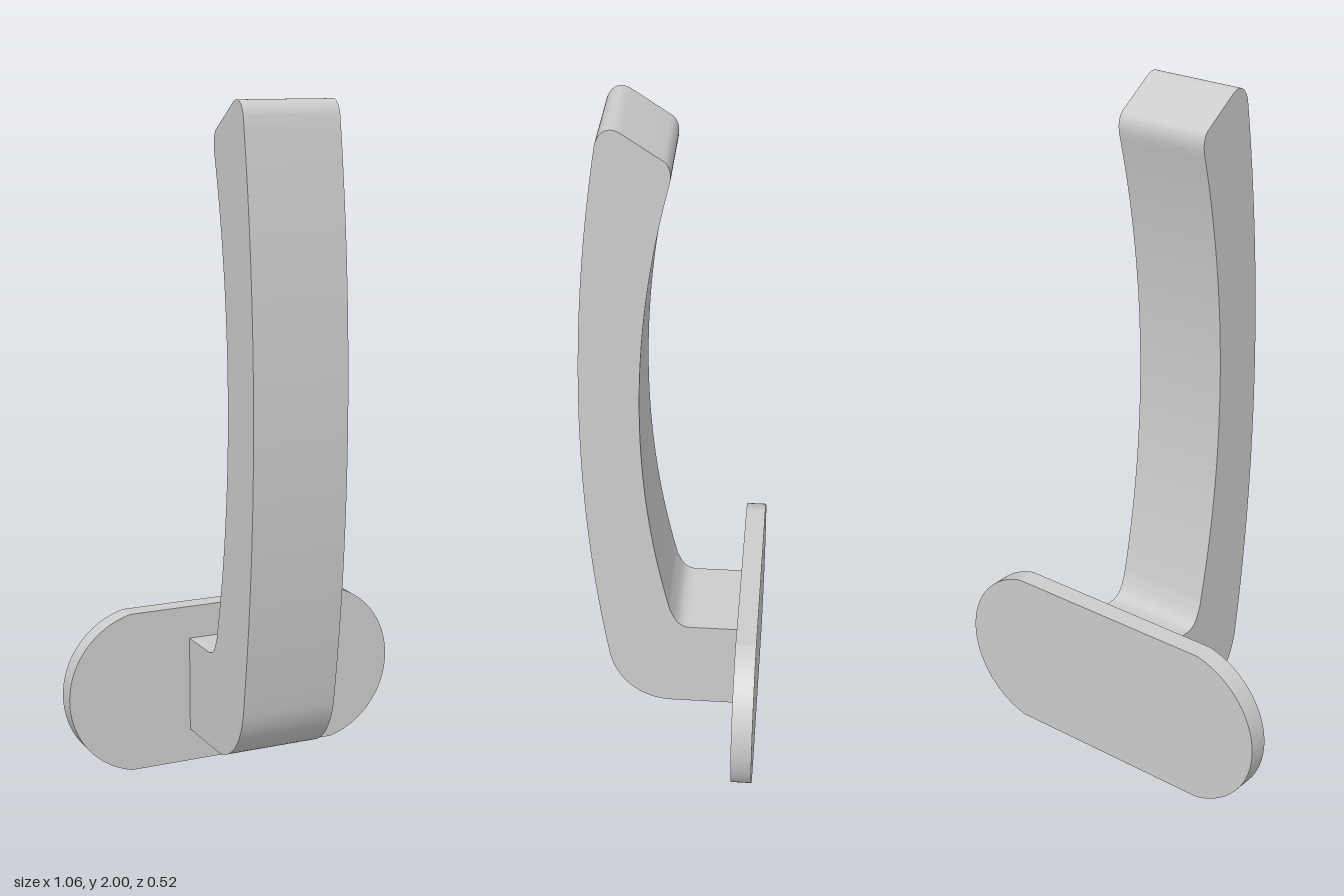
import * as THREE from 'three';
import { toCreasedNormals } from 'three/addons/utils/BufferGeometryUtils.js';

const material = new THREE.MeshStandardMaterial({ color: 0xcccccc });

function extrude(shape, depth, curveSegments) {
  const g = new THREE.ExtrudeGeometry(shape, { depth, bevelEnabled: false, curveSegments });
  return g;
}

function part(name, geometry) {
  const mesh = new THREE.Mesh(toCreasedNormals(geometry, 0.18), material);
  mesh.name = name;
  return mesh;
}

export function createModel() {
  const model = new THREE.Group();
  model.name = 'leverHandle';

  const back = -0.26, front = -0.2, midY = 0.245, pin = 0.13;

  // Mounting plate: flat top and bottom, slightly shallow round ends, square socket
  const r = 0.2514, cx = 0.2786, a = Math.asin(midY / r);
  const plate = new THREE.Shape();
  plate.absarc(cx, midY, r, -a, a, false);
  plate.absarc(-cx, midY, r, Math.PI - a, Math.PI + a, false);
  plate.closePath();
  const socket = new THREE.Path();
  const h = pin / 2;
  socket.setFromPoints([[-h, -h], [-h, h], [h, h], [h, -h]]
    .map(([x, y]) => new THREE.Vector2(x, midY + y)));
  socket.closePath();
  plate.holes.push(socket);
  model.add(part('mountingPlate', extrude(plate, front - back, 48).translate(0, 0, back)));

  // Square spindle end, flush with the back of the plate
  model.add(part('spindleEnd',
    new THREE.BoxGeometry(pin, pin, front - back).translate(0, midY, (front + back) / 2)));

  // Neck and curved grip in one side profile (shape x = depth, shape y = height)
  const width = 0.29;
  const outer = { z: -5.04, y: 1.14, r: 5.3 };
  const inner = { z: -2.81, y: 1.15, r: 2.9 };
  const angle = (c, y) => Math.asin((y - c.y) / c.r);
  const at = (c, y) => c.z + c.r * Math.cos(angle(c, y));

  const grip = new THREE.Shape();
  grip.moveTo(front, 0.1);
  grip.lineTo(0, 0.1);
  grip.bezierCurveTo(0.09, 0.1, 0.167, 0.165, at(outer, 0.27), 0.27);
  grip.absarc(outer.z, outer.y, outer.r, angle(outer, 0.27), angle(outer, 1.955), false);
  grip.bezierCurveTo(0.19, 1.985, 0.165, 2.012, 0.13, 1.99);
  grip.lineTo(0.022, 1.918);
  grip.bezierCurveTo(0.005, 1.907, -0.002, 1.885, at(inner, 1.855), 1.855);
  grip.absarc(inner.z, inner.y, inner.r, angle(inner, 1.855), angle(inner, 0.45), true);
  grip.bezierCurveTo(-0.012, 0.412, -0.02, 0.39, -0.06, 0.39);
  grip.lineTo(front, 0.39);
  grip.closePath();
  model.add(part('gripAndNeck',
    extrude(grip, width, 24).translate(0, 0, -width / 2).rotateY(-Math.PI / 2)));

  return model;
}
